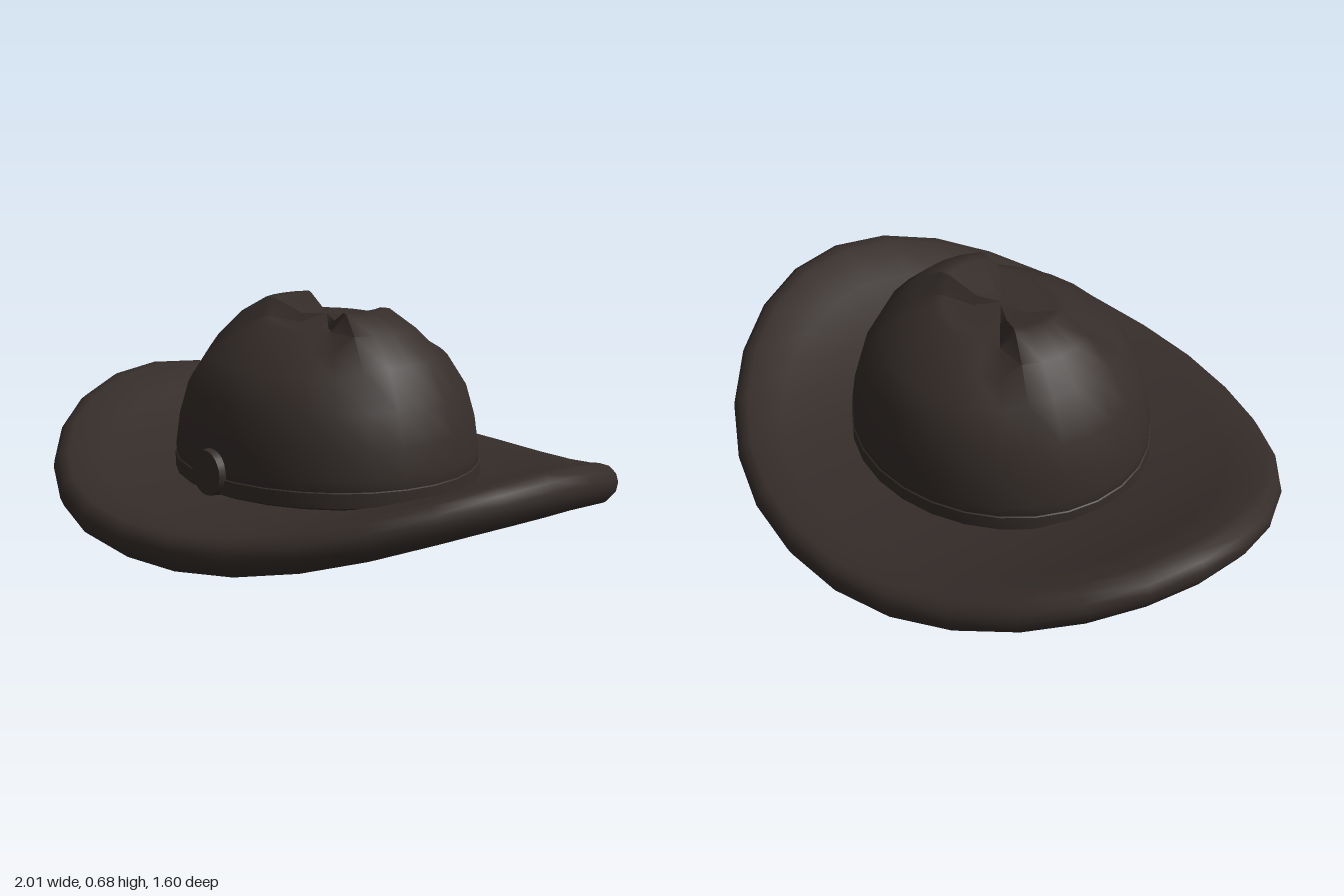
import * as THREE from 'three';
import { mergeVertices, toCreasedNormals } from 'three/addons/utils/BufferGeometryUtils.js';

const SIDES = 28;
const felt = new THREE.MeshStandardMaterial({ color: 0x352d2a, side: THREE.DoubleSide });

// Lathe a profile, move each vertex by a rule, then smooth all but the sharp folds.
function shapedLathe(name, profile, rule, crease = 0.8) {
  let geo = new THREE.LatheGeometry(profile.map(([r, y]) => new THREE.Vector2(r, y)), SIDES);
  geo.deleteAttribute('uv');
  geo.deleteAttribute('normal');
  geo = mergeVertices(geo, 1e-4);
  const pos = geo.attributes.position;
  const v = new THREE.Vector3();
  for (let i = 0; i < pos.count; i++) {
    v.fromBufferAttribute(pos, i);
    rule(v);
    pos.setXYZ(i, v.x, v.y, v.z);
  }
  const mesh = new THREE.Mesh(toCreasedNormals(geo, crease), felt);
  mesh.name = name;
  return mesh;
}

// Oval brim: curls up toward the left and right edges
function bendBrim(v) {
  v.z *= 0.8;
  const a = Math.abs(v.x);
  const slope = 0.576 * Math.pow(a, 1.4) * Math.sign(v.x);
  v.x -= slope * (v.y - 0.055);
  v.y += 0.24 * Math.pow(a, 2.4);
}

// Crown: front and back sectors are pressed in, leaving a raised ridge on each side
function pinchCrown(v) {
  const r = Math.hypot(v.x, v.z);
  const angle = Math.atan2(Math.abs(v.z), Math.abs(v.x));
  if (r > 0.08 && r < 0.45 && angle > 0.5) {
    v.y -= 0.055 * Math.min(1, (0.45 - r) / 0.12) * Math.min(1, r / 0.2);
  }
  v.z *= 0.9;
}

export function createModel() {
  const hat = new THREE.Group();
  hat.name = 'hat';

  hat.add(shapedLathe('brim', [
    [0, 0], [0.25, 0], [0.45, 0], [0.65, 0], [0.82, 0], [0.95, 0],
    [0.985, 0.02], [1, 0.045], [1, 0.07], [0.985, 0.095], [0.955, 0.11],
    [0.82, 0.11], [0.65, 0.11], [0.45, 0.11], [0.25, 0.11], [0, 0.11],
  ], bendBrim, 1.2));

  hat.add(shapedLathe('crown', [
    [0, 0.14], [0.49, 0.14], [0.508, 0.16], [0.508, 0.23], [0.495, 0.32],
    [0.465, 0.42], [0.4, 0.54], [0.31, 0.625], [0.22, 0.677], [0.19, 0.677],
    [0.09, 0.635], [0, 0.642],
  ], pinchCrown));

  // Narrow band around the foot of the crown
  hat.add(shapedLathe('hatBand', [
    [0.505, 0.145], [0.512, 0.15], [0.512, 0.195], [0.505, 0.2],
  ], (v) => { v.z *= 0.9; }));

  // Round badge on the front of the band
  const badge = new THREE.Mesh(new THREE.CylinderGeometry(0.07, 0.075, 0.045, 24), felt);
  badge.name = 'frontBadge';
  badge.rotation.x = Math.PI / 2;
  badge.position.set(0, 0.208, 0.45);
  hat.add(badge);

  return hat;
}
